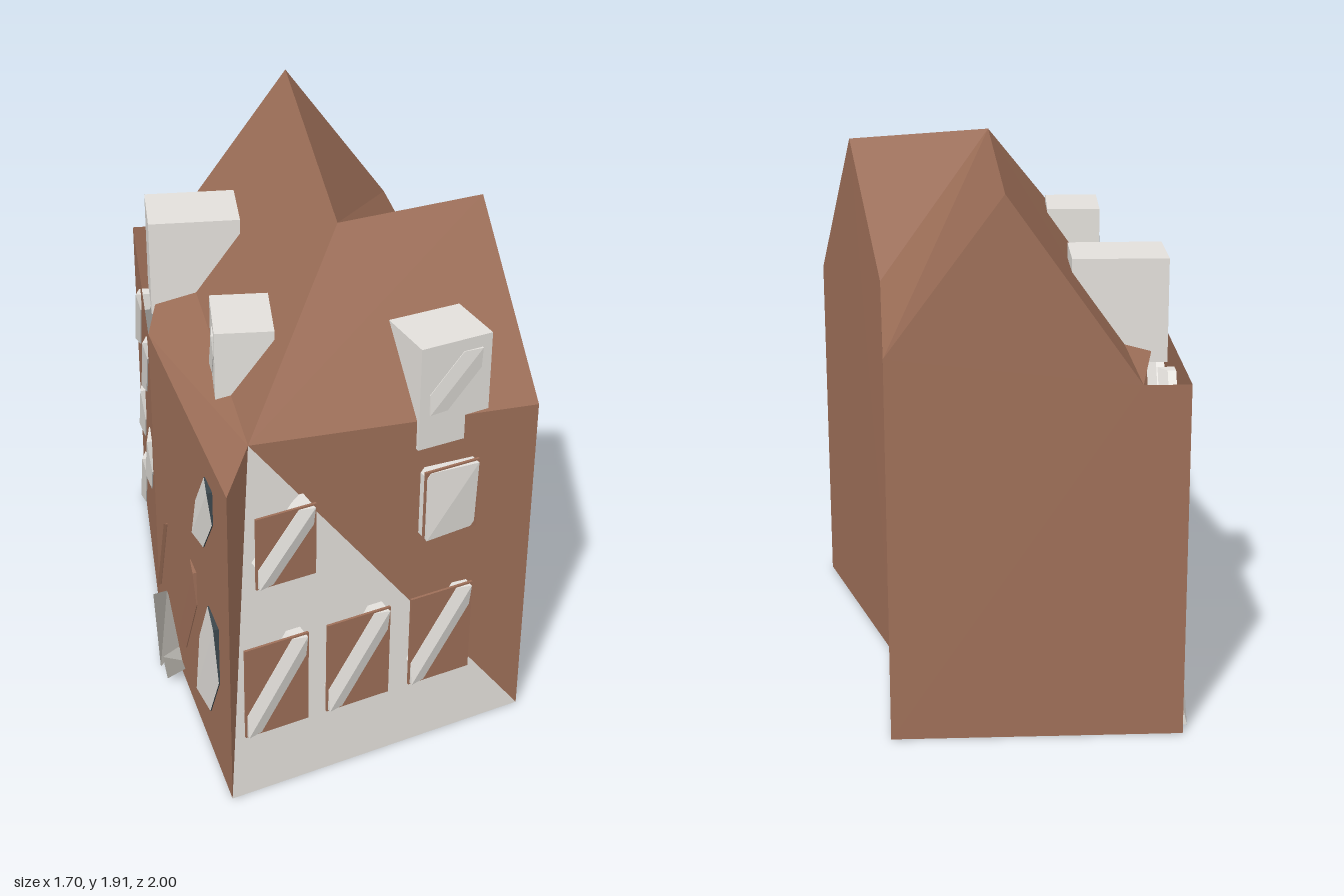
import * as THREE from 'three';

export function createModel() {
  const model = new THREE.Group();
  const material = (name, color) => {
    const m = new THREE.MeshStandardMaterial({ color, side: THREE.DoubleSide });
    m.name = name;
    return m;
  };
  const brick = material('brick', 0x9f7059);
  const pale = material('pale plaster', 0xe4e1dc);
  const stone = material('grey stone', 0x8f8c86);
  const slate = material('dark slate', 0x3c474d);

  // Flat mesh from polygons, each split as a fan from its first corner
  function facets(name, mat, polygons, parent = model) {
    const pos = [];
    for (const p of polygons) {
      for (let i = 1; i < p.length - 1; i++) pos.push(...p[0], ...p[i], ...p[i + 1]);
    }
    const g = new THREE.BufferGeometry();
    g.setAttribute('position', new THREE.Float32BufferAttribute(pos, 3));
    g.computeVertexNormals();
    const mesh = new THREE.Mesh(g, mat);
    mesh.name = name;
    parent.add(mesh);
  }

  // Footprint corners, and the corners at the eaves
  const A0 = [-0.85, 0, 0.78], B0 = [0.29, 0, 1], C0 = [0.49, 0, 0.135];
  const D0 = [0.845, 0, -0.49], E0 = [-0.03, 0, -1], G0 = [-0.464, 0, -0.24];
  const raise = (p, y) => [p[0], y, p[2]];
  const A1 = raise(A0, 1.27), B1 = raise(B0, 1.3), C1 = [0.465, 1.43, 0.21];
  const D1 = raise(D0, 1.37), E1 = raise(E0, 1.27), G1 = raise(G0, 1.27);
  // Roof corners: front hip, back eave, back apex, ridge corner, side apex
  const F = [-0.72, 1.385, 0.72], H = [0.11, 1.27, -0.92], P = [0.5, 1.91, -0.69];
  const Q = [-0.15, 1.895, 0.45], R = [0.385, 1.89, 0.57];

  facets('frontPlaster', pale, [[A0, B0, F]]);
  facets('frontBrickwork', brick, [[B0, B1, F], [A0, F, A1]]);
  facets('sideGable', brick, [[R, B1, B0, C0, C1]]);
  facets('rightWall', brick, [[C0, D0, D1, C1]]);
  facets('backGable', brick, [[H, P, D1, D0, E0, E1]]);
  facets('leftWalls', brick, [[E0, G0, G1, E1], [G0, A0, A1, G1]]);
  facets('leftEaves', brick, [[G1, A1, F], [H, G1, F]]);
  facets('roof', brick, [[H, F, Q, P], [F, B1, R, Q], [Q, R, C1], [Q, C1, D1, P]]);

  // Group whose x axis runs along a wall and whose z axis points outward
  function wallFrame(name, p, q) {
    const g = new THREE.Group();
    g.name = name;
    g.position.set(...p);
    g.rotation.y = Math.atan2(p[2] - q[2], q[0] - p[0]);
    g.userData.length = Math.hypot(q[0] - p[0], q[2] - p[2]);
    model.add(g);
    return g;
  }

  // Diagonal folded band; k sets its width. Depths: edge and fold outside, edge and fold inside
  function band(name, mat, innerMat, parent, [x0, x1, y0, y1, k], [edge, fold, backEdge, backFold]) {
    const at = (u, v, z) => [x0 + u * (x1 - x0), y0 + v * (y1 - y0), z];
    const ring = (e, f) => [
      at(0, 0, f), at(k, 0, e), at(1, 1 - k, e), at(1, 1, f), at(1 - k, 1, e), at(0, k, e),
    ];
    const o = ring(edge, fold), b = ring(backEdge, backFold);
    facets(name, mat, [[o[0], o[1], o[2], o[3]], [o[0], o[3], o[4], o[5]]], parent);
    const inside = [[b[0], b[3], b[2], b[1]], [b[0], b[5], b[4], b[3]]];
    for (let i = 0; i < 6; i++) {
      const j = (i + 1) % 6;
      inside.push([o[i], b[i], b[j], o[j]]);
    }
    facets(name + 'Inside', innerMat, inside, parent);
  }

  // Front windows: a brick plate with a pale folded pane
  const front = wallFrame('frontWindows', A0, B0);
  const along = front.userData.length / (B0[0] - A0[0]);
  const frontWindows = [
    [-0.8, -0.565, 0.265, 0.64, 0.24], [-0.495, -0.255, 0.265, 0.64, 0.24],
    [-0.175, 0.065, 0.265, 0.64, 0.24], [-0.755, -0.54, 0.88, 1.16, 0.27],
    [-0.14, 0.065, 0.88, 1.155, 0.93],
  ];
  for (const [xa, xb, y0, y1, k] of frontWindows) {
    const u0 = (xa - A0[0]) * along, u1 = (xb - A0[0]) * along;
    const plate = new THREE.Mesh(new THREE.BoxGeometry(u1 - u0, y1 - y0, 0.009), brick);
    plate.position.set((u0 + u1) / 2, (y0 + y1) / 2, 0.005);
    plate.name = 'windowPlate';
    front.add(plate);
    band('windowPane', pale, pale, front,
      [u0 + 0.006, u1 - 0.01, y0 + 0.006, y1 - 0.006, k], [0.011, 0.024, -0.04, -0.08]);
  }

  // Left side openings, placed as fractions of each wall's length
  const sides = [
    [wallFrame('leftBackWindows', E0, G0), pale, [
      [0.26, 0.5, 0.89, 1.2, 0.22, pale], [0.66, 0.91, 0.88, 1.19, 0.22, pale],
      [0.26, 0.5, 0.49, 0.77, 0.48, pale], [0.66, 0.91, 0.47, 0.76, 0.48, pale],
      [0.05, 0.36, 0.01, 0.37, 0.2, pale],
    ]],
    [wallFrame('leftFrontWindows', G0, A0), slate, [
      [0.62, 0.83, 0.86, 1.17, 0.42, pale], [0.62, 0.87, 0.17, 0.64, 0.5, pale],
      [0.34, 0.59, 0.18, 0.66, 0.3, brick], [0.04, 0.18, 0.18, 0.57, 0.015, brick],
    ]],
  ];
  for (const [frame, innerMat, list] of sides) {
    const L = frame.userData.length;
    for (const [t0, t1, y0, y1, k, mat] of list) {
      const area = [t0 * L, t1 * L, y0, y1, k];
      if (mat === pale) band('windowPane', pale, innerMat, frame, area, [0.004, 0.02, -0.03, -0.06]);
      else band('doorPanel', brick, brick, frame, area, [0.003, 0.014, -0.01, -0.02]);
    }
  }

  // Dormers: boxes set into the roof, front edge running from p to q
  function dormer(name, p, q, depth, y1, pane) {
    const frame = wallFrame(name, p, q);
    const L = frame.userData.length, y0 = 1.23;
    const box = new THREE.Mesh(new THREE.BoxGeometry(L, y1 - y0, depth), pale);
    box.position.set(L / 2, (y0 + y1) / 2, -depth / 2);
    box.name = name + 'Box';
    frame.add(box);
    if (pane) {
      band(name + 'Pane', pale, pale, frame,
        [L * 0.14, L * 0.86, 1.36, 1.57, 0.36], [0.002, 0.008, -0.005, -0.01]);
    }
  }
  dormer('frontDormer', [-0.15, 0, 0.892], [0.11, 0, 0.943], 0.225, 1.615, true);
  dormer('leftDormer', [-0.465, 0, 0.153], [-0.607, 0, 0.38], 0.2, 1.6, true);
  dormer('backDormer', [-0.2, 0, -0.64], [-0.33, 0, -0.42], 0.335, 1.6, false);

  // Folded entrance step beside the inner corner
  facets('entranceStep', stone, [
    [[-0.5, 0.12, -0.23], [-0.645, 0, 0.03], [-0.52, 0.225, -0.1]],
    [[-0.645, 0, 0.03], [-0.55, 0.12, 0.07], [-0.52, 0.225, -0.1]],
    [[-0.64, 0.05, 0.04], [-0.69, 0.04, 0.145], [-0.56, 0.05, 0.145], [-0.55, 0.1, 0.07]],
  ]);

  return model;
}
